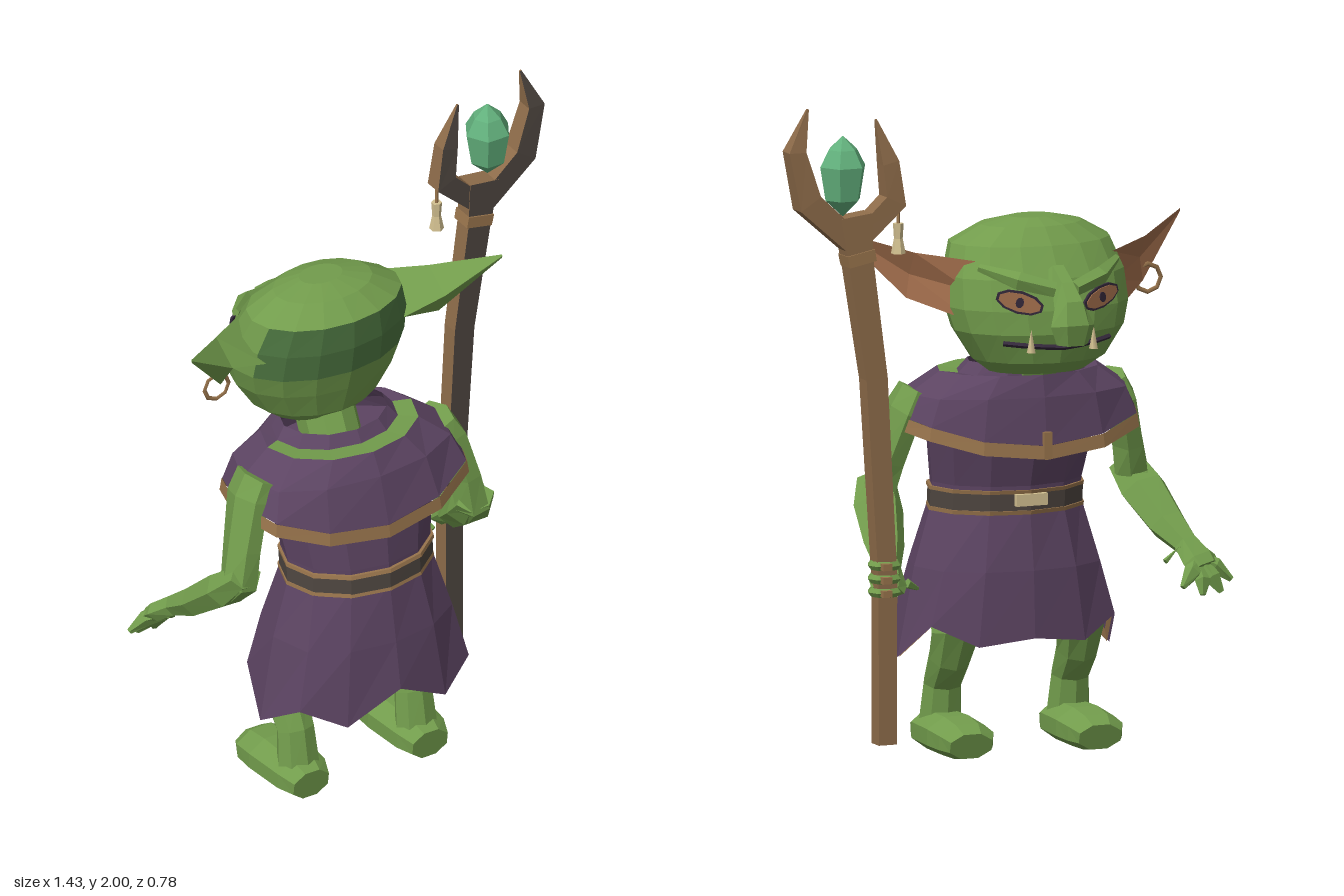
import * as THREE from 'three';

const material = (name, color, side = THREE.FrontSide) => {
  const m = new THREE.MeshStandardMaterial({ color, side });
  m.name = name;
  return m;
};
const skin = material('green skin', 0x729c4c);
const darkSkin = material('dark green skin', 0x4c7440);
const cloth = material('purple cloth', 0x5c4462, THREE.DoubleSide);
const trim = material('tan trim', 0x98744c, THREE.DoubleSide);
const wood = material('wood', 0x8e6c4a);
const darkWood = material('dark leather and wood', 0x4e4640);
const gemGreen = material('gem green', 0x62b07c);
const bone = material('bone', 0xd2c090);
const warmBrown = material('warm brown', 0xa26e4c);
const ink = material('dark plum line', 0x33283a);

const CX = -0.12; // body centre line

// Skin rings of points into a faceted surface; pick() selects faces for the second material
function loft(name, rings, mats, pick = () => false, caps = true) {
  const lists = [[], []];
  const tri = (a, b, c) => {
    const [A, B, C] = [a, b, c].map(p => new THREE.Vector3(...p));
    const n = B.clone().sub(A).cross(C.clone().sub(A)).normalize();
    const mid = A.add(B).add(C).divideScalar(3);
    lists[pick(n, mid) ? 1 : 0].push(...a, ...b, ...c);
  };
  const n = rings[0].length;
  for (let i = 0; i < rings.length - 1; i++) {
    for (let j = 0; j < n; j++) {
      const k = (j + 1) % n, lo = rings[i], hi = rings[i + 1];
      tri(lo[j], lo[k], hi[k]);
      tri(lo[j], hi[k], hi[j]);
    }
  }
  if (caps) {
    const a = rings[0], b = rings[rings.length - 1];
    for (let j = 1; j < n - 1; j++) {
      tri(a[0], a[j + 1], a[j]);
      tri(b[0], b[j], b[j + 1]);
    }
  }
  const g = new THREE.BufferGeometry();
  g.setAttribute('position', new THREE.Float32BufferAttribute([...lists[0], ...lists[1]], 3));
  g.computeVertexNormals();
  if (Array.isArray(mats)) {
    g.addGroup(0, lists[0].length / 3, 0);
    g.addGroup(lists[0].length / 3, lists[1].length / 3, 1);
  }
  return named(new THREE.Mesh(g, mats), name);
}
function named(o, name) { o.name = name; return o; }

// Horizontal oval from half width and z limits; y may be a function of segment, power < 1 squares it off
const oval = (y, rx, z0, z1, n = 12, power = 1) => Array.from({ length: n }, (_, i) => {
  const a = i / n * Math.PI * 2, c = Math.cos(a);
  return [CX + rx * Math.sin(a), typeof y === 'function' ? y(i, a) : y,
    (z0 + z1) / 2 + (z1 - z0) / 2 * Math.sign(c) * Math.abs(c) ** power];
});

// Tapered limb through [x, y, z, radiusA, radiusB] points
function limb(name, path, mats, { sides = 6, ref = [0, 0, 1], rot = 0, pick } = {}) {
  const pts = path.map(p => new THREE.Vector3(p[0], p[1], p[2]));
  const rings = path.map((p, i) => {
    const t = pts[Math.min(i + 1, pts.length - 1)].clone().sub(pts[Math.max(i - 1, 0)]).normalize();
    const u = new THREE.Vector3(...ref);
    u.addScaledVector(t, -u.dot(t)).normalize();
    const v = t.clone().cross(u);
    return Array.from({ length: sides }, (_, j) => {
      const a = j / sides * Math.PI * 2 + rot;
      return pts[i].clone().addScaledVector(u, p[3] * Math.cos(a)).addScaledVector(v, (p[4] ?? p[3]) * Math.sin(a)).toArray();
    });
  });
  return loft(name, rings, mats, pick);
}

function makeHead() {
  const g = named(new THREE.Group(), 'head');
  const rings = [[1.16, 0.15, -0.2, 0.03], [1.2, 0.205, -0.26, 0.07], [1.29, 0.265, -0.29, 0.1], [1.36, 0.285, -0.285, 0.12],
    [1.45, 0.28, -0.26, 0.135], [1.54, 0.25, -0.2, 0.135], [1.59, 0.16, -0.15, 0.07], [1.61, 0.07, -0.1, 0.0]];
  g.add(loft('skull', rings.map(r => oval(...r, 16)), [skin, darkSkin],
    (n, m) => n.z > 0.4 && m.y > 1.36 && m.y < 1.54));
  g.add(limb('neck', [[CX, 1.06, 0.02, 0.1, 0.09], [CX, 1.2, -0.05, 0.1, 0.09]], skin, { sides: 10 }));
  g.add(limb('nose', [[CX, 1.47, -0.23, 0.034, 0.03], [CX, 1.42, -0.29, 0.036, 0.045], [CX, 1.375, -0.335, 0.05, 0.05],
    [CX, 1.325, -0.355, 0.07, 0.046], [CX, 1.27, -0.352, 0.05, 0.032]], skin, { ref: [1, 0, 0] }));
  const mouth = [];
  for (let a = -0.75; a <= 0.76; a += 0.25)
    mouth.push([CX + 0.25 * Math.sin(a), 1.25 + 0.02 * Math.abs(a), -0.095 - 0.19 * Math.cos(a), 0.008]);
  g.add(limb('mouth', mouth, ink, { ref: [0, 1, 0], sides: 4 }));

  for (const s of [1, -1]) {
    const P = (o, y, z) => [CX + s * o, y, z];
    // Ear sections: top, back, bottom, hollow front
    const sections = [
      [P(0.22, 1.5, -0.14), P(0.24, 1.42, 0.03), P(0.23, 1.32, -0.15), P(0.23, 1.41, -0.13)],
      [P(0.37, 1.52, -0.04), P(0.37, 1.46, 0.05), P(0.38, 1.38, 0.0), P(0.37, 1.45, 0.0)],
      [P(0.54, 1.57, 0.093), P(0.54, 1.567, 0.097), P(0.54, 1.56, 0.095), P(0.54, 1.565, 0.093)]];
    g.add(loft('ear', s > 0 ? sections : sections.map(r => r.reverse()), [skin, warmBrown], n => n.z < -0.2));
    g.add(limb('brow', [[...P(0.03, 1.425, -0.295), 0.024], [...P(0.13, 1.452, -0.255), 0.028], [...P(0.22, 1.485, -0.17), 0.012]],
      skin, { ref: [0, 1, 0], sides: 5 }));
    // Layered thin ovals for the eye
    const eye = named(new THREE.Group(), 'eye');
    for (const [name, w, h, d, m] of [['eye rim', 0.074, 0.034, 0, ink], ['iris', 0.066, 0.027, 0.003, warmBrown], ['pupil', 0.012, 0.016, 0.006, ink]]) {
      const disc = new THREE.CylinderGeometry(1, 1, 0.008, 10).rotateX(Math.PI / 2).scale(w, h, 1).translate(0, 0, d);
      eye.add(named(new THREE.Mesh(disc, m), name));
    }
    eye.position.set(...P(0.13, 1.39, -0.263));
    eye.rotation.set(0, Math.PI - s * 0.38, -s * 0.28);
    g.add(eye);
    const tusk = named(new THREE.Mesh(new THREE.ConeGeometry(0.014, 0.07, 5), bone), 'tusk');
    tusk.position.set(...P(0.1, 1.275, -0.28));
    g.add(tusk);
  }
  const ring = named(new THREE.Mesh(new THREE.TorusGeometry(0.042, 0.007, 4, 8), trim), 'earring');
  ring.position.set(-0.52, 1.385, 0.01);
  g.add(ring);
  return g;
}

function makeClothes() {
  const g = named(new THREE.Group(), 'clothes');
  g.add(loft('tunic', [oval(0.7, 0.23, -0.04, 0.33), oval(0.8, 0.235, -0.045, 0.325), oval(0.95, 0.26, -0.09, 0.31),
    oval(1.1, 0.24, -0.09, 0.23)], cloth));
  // Cape with a pointed hem, and bare skin in the recess behind the collar
  const hem = lift => (i, a) => 0.98 + lift - 0.083 * Math.cos(a) ** 2;
  g.add(loft('cape', [oval(hem(0.04), 0.38, -0.165, 0.325, 12, 0.7), oval(1.08, 0.345, -0.15, 0.28, 12, 0.75), oval(1.145, 0.25, -0.135, 0.24),
    oval(1.14, 0.2, -0.12, 0.175), oval(1.175, 0.17, -0.115, 0.15)], [cloth, skin],
    (n, m) => n.y > 0.85 && m.y > 1.138 && m.y < 1.147 && m.z > 0.05, false));
  g.add(loft('cape trim', [oval(hem(0), 0.388, -0.172, 0.333, 12, 0.7), oval(hem(0.04), 0.382, -0.167, 0.327, 12, 0.7)], trim, undefined, false));
  // Skirt with a zigzag hem
  const zig = [0.4, 0.31, 0.37, 0.28, 0.39, 0.33, 0.35];
  const hemY = lift => i => zig[i > 6 ? 12 - i : i] + lift;
  g.add(loft('skirt', [oval(hemY(0), 0.34, -0.08, 0.39, 12, 0.7), oval(0.55, 0.29, -0.07, 0.365, 12, 0.75), oval(0.74, 0.235, -0.04, 0.33)],
    cloth, undefined, false));
  g.add(loft('skirt lining', [oval(hemY(0.002), 0.333, -0.073, 0.383, 12, 0.7), oval(hemY(0.04), 0.325, -0.07, 0.377, 12, 0.7)],
    trim, undefined, false));
  // Belt with edging and buckle
  for (const [name, y0, y1, e, m] of [['belt', 0.725, 0.78, 0.004, darkWood], ['belt edge', 0.715, 0.727, 0.007, trim], ['belt edge', 0.777, 0.788, 0.007, trim]])
    g.add(loft(name, [oval(y0, 0.236 + e, -0.042 - e, 0.332 + e), oval(y1, 0.236 + e, -0.045 - e, 0.328 + e)], m));
  const buckle = named(new THREE.Mesh(new THREE.BoxGeometry(0.1, 0.035, 0.02), bone), 'buckle');
  buckle.position.set(CX, 0.76, -0.05);
  const clasp = named(new THREE.Mesh(new THREE.BoxGeometry(0.025, 0.08, 0.015), trim), 'cape clasp');
  clasp.position.set(CX, 0.94, -0.17);
  g.add(buckle, clasp);
  return g;
}

function makeLimbs() {
  const g = named(new THREE.Group(), 'limbs');
  const ref = [1, 0, 0];
  for (const s of [1, -1]) {
    const P = (o, y, z, ...r) => [CX + s * o, y, z, ...r];
    g.add(limb('upper arm', [P(0.315, 1.09, 0.09, 0.04, 0.08), P(0.345, 1.03, 0.095, 0.045, 0.09), P(0.385, 0.88, 0.125, 0.048, 0.075),
      P(0.405, 0.78, 0.14, 0.055, 0.065), P(0.42, 0.73, 0.1, 0.045, 0.05)], skin, { ref }));
    g.add(limb('forearm', [P(0.4, 0.81, 0.17, 0.06, 0.04), P(0.425, 0.74, 0.1, 0.076, 0.058), P(0.455, 0.65, -0.01, 0.062, 0.048),
      P(0.48, 0.6, -0.09, 0.042, 0.034), P(0.5, 0.56, -0.14, 0.058, 0.032), P(0.51, 0.54, -0.165, 0.05, 0.024)], skin, { ref }));
    g.add(limb('leg', [P(0.19, 0.5, 0.11, 0.075, 0.065), P(0.2, 0.36, 0.045, 0.078, 0.07), P(0.205, 0.28, 0.085, 0.064, 0.062),
      P(0.205, 0.2, 0.135, 0.06, 0.052), P(0.205, 0.06, 0.155, 0.07, 0.058)], skin, { ref, sides: 8 }));
    g.add(limb('foot', [P(0.207, 0.05, 0.225, 0.065, 0.05), P(0.207, 0.058, 0.17, 0.088, 0.063), P(0.207, 0.058, 0.03, 0.1, 0.063),
      P(0.207, 0.052, -0.045, 0.094, 0.056), P(0.207, 0.042, -0.082, 0.072, 0.042)], skin, { ref, sides: 8, rot: Math.PI / 8 }));
  }
  // Open hand
  for (const [x, y, z] of [[-0.71, 0.5, -0.17], [-0.665, 0.47, -0.2], [-0.605, 0.465, -0.2], [-0.545, 0.49, -0.19], [-0.515, 0.56, -0.13]])
    g.add(limb('finger', [[-0.615, 0.56, -0.13, 0.026], [(x - 0.61) / 2 - 0.005, y + 0.04, z + 0.015, 0.026], [x, y, z, 0.009]], skin, { ref, sides: 5 }));
  // Fingers gripping the staff
  for (const y of [0.54, 0.58, 0.62]) {
    const f = named(new THREE.Mesh(new THREE.TorusGeometry(0.038, 0.014, 5, 8).rotateX(Math.PI / 2).toNonIndexed(), skin), 'gripping finger');
    f.geometry.computeVertexNormals();
    f.position.set(0.402, y, -0.165);
    const nail = named(new THREE.Mesh(new THREE.BoxGeometry(0.03, 0.02, 0.02), trim), 'fingernail');
    nail.position.set(0.415, y, -0.212);
    g.add(f, nail);
  }
  g.add(limb('thumb', [[0.31, 0.55, -0.12, 0.016], [0.27, 0.53, -0.11, 0.006]], skin, { sides: 5 }));
  return g;
}

function makeStaff() {
  const g = named(new THREE.Group(), 'staff');
  const Z = -0.165, opts = { sides: 4, rot: Math.PI / 4, pick: n => n.z > 0.5 };
  // Square poles with half widths in z and x
  const pole = (name, pts) => g.add(limb(name, pts.map(([x, y, hz, hx]) => [x, y, Z, hz * Math.SQRT2, hx * Math.SQRT2]), [wood, darkWood], opts));
  pole('staff shaft', [[0.402, 0.085, 0.027, 0.029], [0.402, 0.58, 0.027, 0.03], [0.437, 1.18, 0.028, 0.034], [0.487, 1.52, 0.03, 0.039], [0.505, 1.67, 0.031, 0.05]]);
  pole('staff prong', [[0.5, 1.59, 0.028, 0.03], [0.375, 1.705, 0.029, 0.034], [0.39, 1.82, 0.024, 0.026], [0.43, 1.95, 0.003, 0.003]]);
  pole('staff prong', [[0.51, 1.59, 0.028, 0.034], [0.65, 1.715, 0.031, 0.038], [0.69, 1.87, 0.026, 0.027], [0.648, 1.995, 0.003, 0.003]]);
  g.add(limb('staff binding', [[0.484, 1.525, Z, 0.05, 0.062], [0.491, 1.56, Z, 0.05, 0.063]], trim, { sides: 4, rot: Math.PI / 4 }));
  const profile = [[0.001, 1.67], [0.055, 1.72], [0.072, 1.82], [0.045, 1.87], [0.001, 1.91]].map(p => new THREE.Vector2(...p));
  const gem = named(new THREE.Mesh(new THREE.LatheGeometry(profile, 6, Math.PI / 6).toNonIndexed(), gemGreen), 'gem');
  gem.geometry.computeVertexNormals();
  gem.position.set(0.54, 0, -0.175);
  g.add(gem);
  // Hanging charm
  g.add(limb('charm cord', [[0.357, 1.7, Z, 0.006], [0.357, 1.62, Z, 0.006]], trim, { sides: 4 }));
  g.add(limb('charm', [[0.357, 1.635, Z, 0.016], [0.357, 1.59, Z, 0.013], [0.357, 1.545, Z, 0.022]], bone));
  return g;
}

export function createModel() {
  const model = named(new THREE.Group(), 'staff bearer');
  model.add(makeHead(), makeClothes(), makeLimbs(), makeStaff());
  return model;
}
